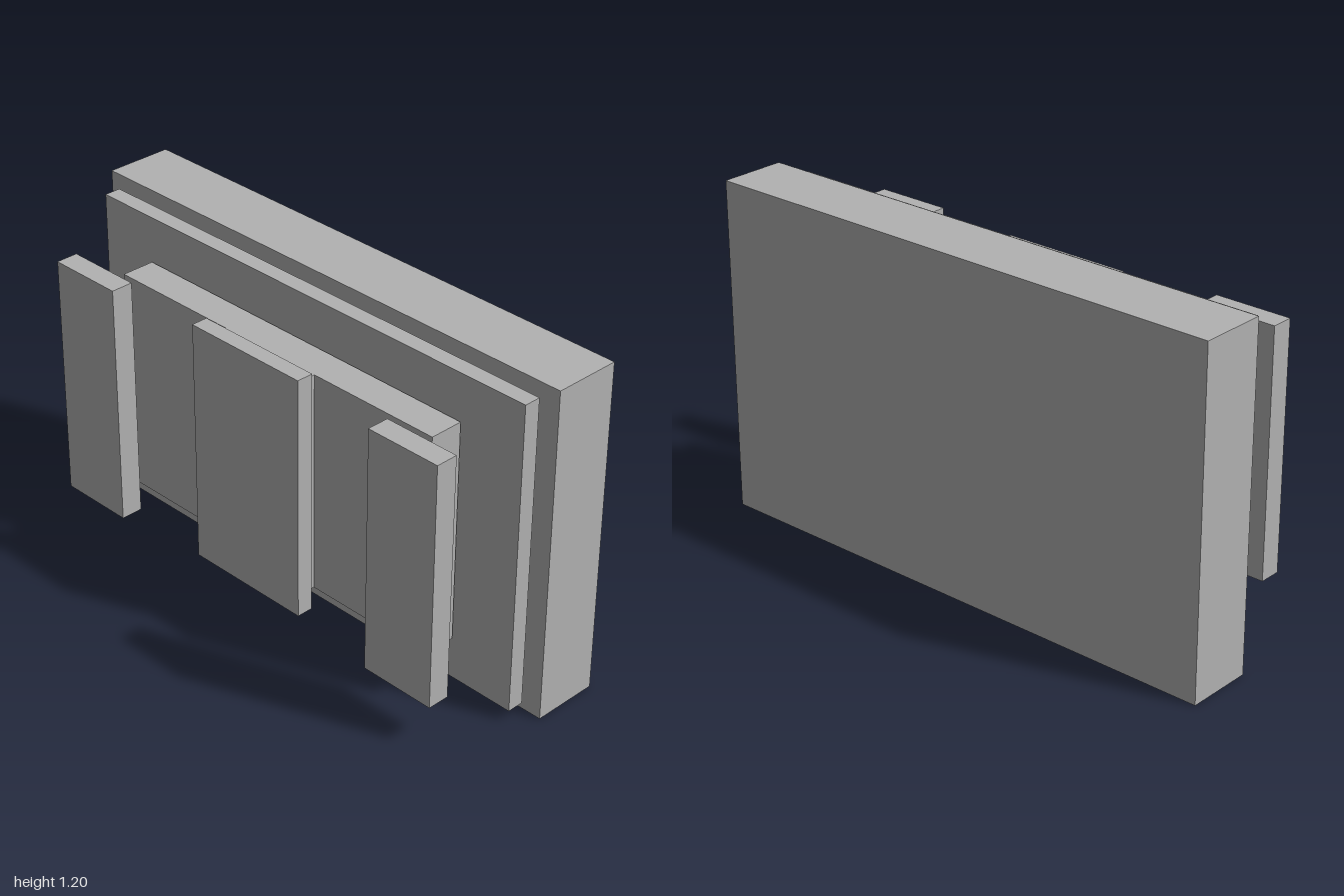
import * as THREE from 'three';

export function createModel() {
  const model = new THREE.Group();
  model.name = 'layeredPanel';
  const grey = new THREE.MeshStandardMaterial({ color: 0xb2b2b2 });
  grey.name = 'grey';

  // Slab from its extents along x, y and z
  function slab(name, x0, x1, y0, y1, z0, z1) {
    const mesh = new THREE.Mesh(new THREE.BoxGeometry(x1 - x0, y1 - y0, z1 - z0), grey);
    mesh.position.set((x0 + x1) / 2, (y0 + y1) / 2, (z0 + z1) / 2);
    mesh.name = name;
    model.add(mesh);
  }

  // Thick rear block and thin sheet in front of it
  slab('backBlock', -1, 1, 0, 1.2, -0.3, -0.06);
  slab('middleSheet', -0.94, 0.94, 0.04, 1.16, -0.04, 0.02);

  // Stepped core
  slab('core', -0.7, 0.7, 0.2, 1, 0.03, 0.152);
  slab('coreStep', -0.2, 0.2, 0.2, 1, 0.152, 0.193);

  // Floating front plates
  slab('centrePlate', -0.24, 0.24, 0.16, 1.04, 0.2, 0.26);
  slab('leftPlate', 0.58, 0.86, 0.16, 1.04, 0.22, 0.3);
  slab('rightPlate', -0.86, -0.58, 0.16, 1.04, 0.22, 0.3);

  return model;
}
